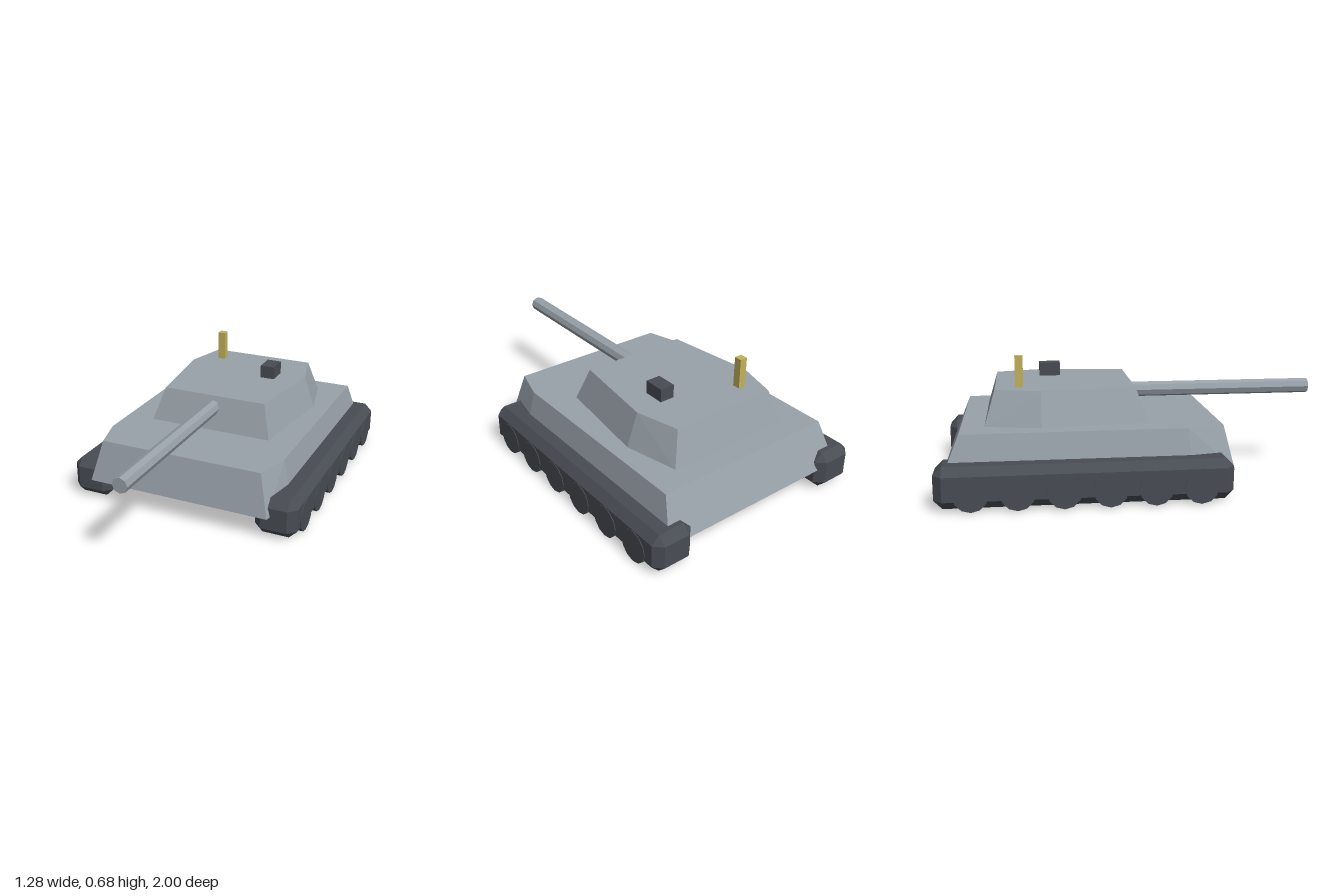
import * as THREE from 'three';
import { ConvexGeometry } from 'three/addons/geometries/ConvexGeometry.js';

const paint = (name, color) => {
  const m = new THREE.MeshStandardMaterial({ color });
  m.name = name;
  return m;
};

// Faceted solid between two levels; each outline lists [x, z] for the +x side and is mirrored
function frustum(y0, bottom, y1, top) {
  const points = [];
  for (const [y, outline] of [[y0, bottom], [y1, top]])
    for (const [x, z] of outline)
      for (const s of [-1, 1]) points.push(new THREE.Vector3(s * x, y, z));
  return new ConvexGeometry(points);
}

// Box with every edge cut at 45 degrees
function chamferedBox(w, h, d, c) {
  const half = [w / 2, h / 2, d / 2];
  const points = [];
  for (let axis = 0; axis < 3; axis++)
    for (const sx of [-1, 1]) for (const sy of [-1, 1]) for (const sz of [-1, 1]) {
      const p = [sx, sy, sz].map((s, i) => s * (half[i] - (i === axis ? 0 : c)));
      points.push(new THREE.Vector3(...p));
    }
  return new ConvexGeometry(points);
}

export function createModel() {
  const model = new THREE.Group();
  model.name = 'tank';
  const armour = paint('armour grey', 0x98a1a9);
  const dark = paint('dark track grey', 0x484c53);
  const brass = paint('antenna yellow', 0xc2b25c);

  const add = (parent, name, geometry, material, x = 0, y = 0, z = 0) => {
    const mesh = new THREE.Mesh(geometry, material);
    mesh.name = name;
    mesh.position.set(x, y, z);
    parent.add(mesh);
    return mesh;
  };

  // Hull and turret with sloped sides
  add(model, 'hull', frustum(
    0.125, [[0.5, 0.475], [0.545, 0.25], [0.545, -0.97]],
    0.345, [[0.445, 0.425], [0.497, 0.24], [0.497, -0.88]]), armour);
  add(model, 'turret', frustum(
    0.345, [[0.343, 0.06], [0.41, -0.48], [0.344, -0.762]],
    0.52, [[0.292, 0], [0.352, -0.48], [0.292, -0.71]]), armour);

  // Gun barrel, its back end buried in the turret
  const barrel = new THREE.CylinderGeometry(0.04, 0.04, 1.1, 8).toNonIndexed();
  barrel.rotateX(Math.PI / 2);
  barrel.computeVertexNormals();
  add(model, 'gunBarrel', barrel, armour, 0, 0.457, 0.45);

  // Turret roof fittings
  add(model, 'hatch', new THREE.BoxGeometry(0.08, 0.08, 0.112), dark, 0.164, 0.55, -0.42);
  add(model, 'antenna', new THREE.BoxGeometry(0.041, 0.17, 0.041), brass, -0.209, 0.595, -0.587);

  // Tracks, each with six road wheels
  const trackBody = chamferedBox(0.224, 0.205, 1.446, 0.042);
  const wheel = new THREE.CylinderGeometry(0.085, 0.085, 0.232, 12).toNonIndexed();
  wheel.rotateZ(Math.PI / 2);
  wheel.computeVertexNormals();
  for (const side of [-1, 1]) {
    const track = new THREE.Group();
    track.name = side > 0 ? 'leftTrack' : 'rightTrack';
    track.position.x = side * 0.524;
    add(track, 'trackBody', trackBody, dark, 0, 0.1125, -0.277);
    for (let i = 0; i < 6; i++)
      add(track, 'roadWheel', wheel, dark, 0, 0.085, 0.28 - i * 0.221);
    model.add(track);
  }
  return model;
}
